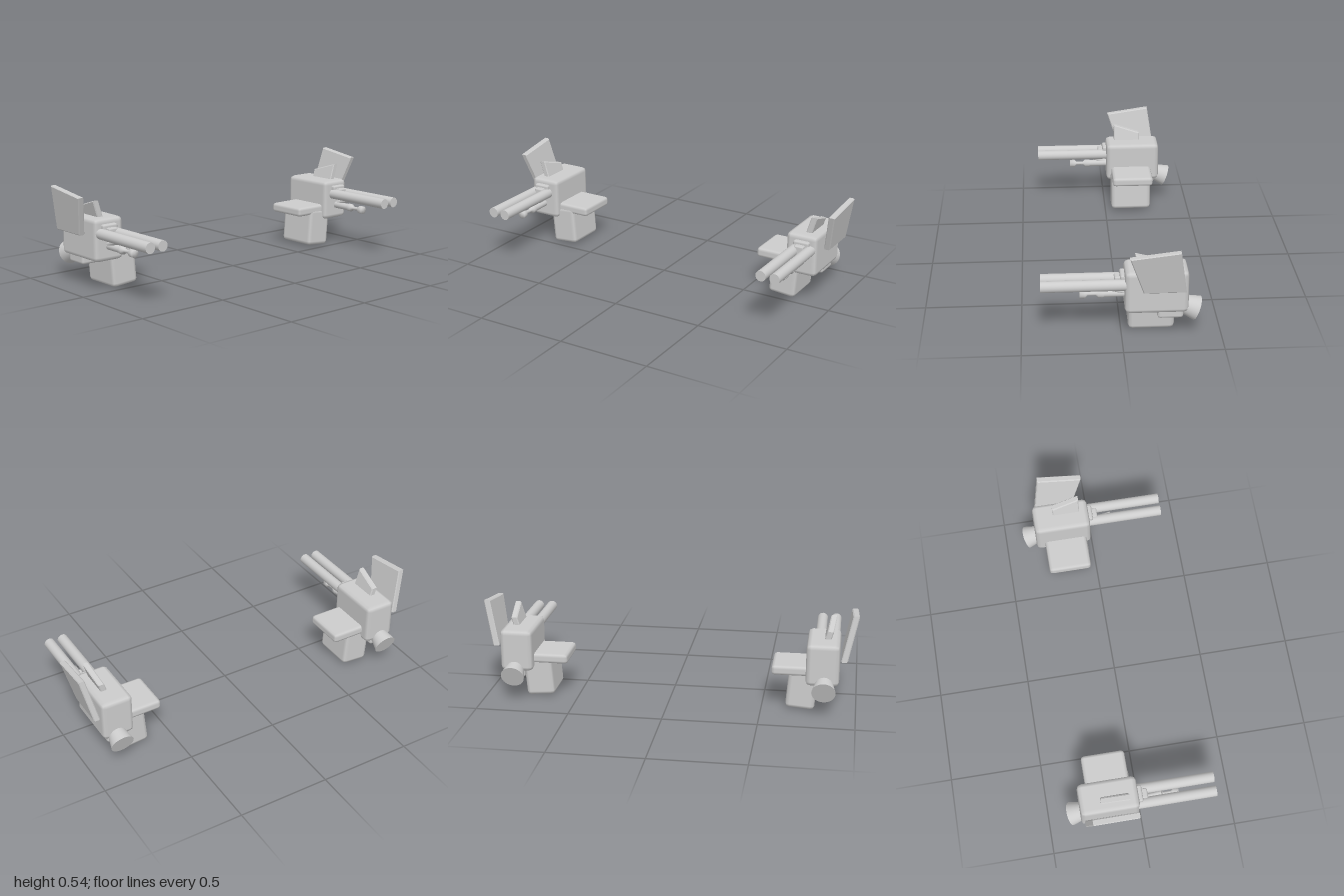
import * as THREE from 'three';
import { RoundedBoxGeometry } from 'three/addons/geometries/RoundedBoxGeometry.js';

const grey = new THREE.MeshStandardMaterial({ color: 0xcccccc });
grey.name = 'light grey metal';

function add(group, name, geometry, x = 0, y = 0, z = 0) {
  const mesh = new THREE.Mesh(geometry, grey);
  mesh.name = name;
  mesh.position.set(x, y, z);
  group.add(mesh);
  return mesh;
}

// Bevelled plate drawn as [z, y] points, leaning outward as it rises
function leaningPlate(points, thickness, lean, baseY, side) {
  const shape = new THREE.Shape(points.map(([z, y]) => new THREE.Vector2(-z, y)));
  const bevel = 0.005;
  const geo = new THREE.ExtrudeGeometry(shape, {
    depth: thickness - 2 * bevel, bevelThickness: bevel, bevelSize: bevel,
    bevelOffset: -bevel, bevelSegments: 1,
  });
  geo.translate(0, 0, bevel - thickness / 2).rotateY(Math.PI / 2);
  const pos = geo.attributes.position;
  for (let i = 0; i < pos.count; i++) {
    pos.setX(i, pos.getX(i) + side * lean * (pos.getY(i) - baseY));
  }
  geo.computeVertexNormals();
  return geo;
}

// Tapered cylinder running between two points
function rod(group, name, from, to, rFrom, rTo, sides = 24) {
  const a = new THREE.Vector3(...from), b = new THREE.Vector3(...to);
  const dir = b.clone().sub(a);
  const mesh = add(group, name, new THREE.CylinderGeometry(rTo, rFrom, dir.length(), sides));
  mesh.position.copy(a).add(b).multiplyScalar(0.5);
  mesh.quaternion.setFromUnitVectors(new THREE.Vector3(0, 1, 0), dir.normalize());
}

function createPod(side) {
  const pod = new THREE.Group();
  pod.name = side > 0 ? 'leftPod' : 'rightPod';
  const box = (name, w, h, d, r, x, y, z) =>
    add(pod, name, new RoundedBoxGeometry(w, h, d, 1, r), side * x, y, z);

  // Housing, inner shelf and slightly tilted lower box
  box('housing', 0.175, 0.228, 0.315, 0.025, 0.82, 0.27, -0.17);
  box('innerShelf', 0.24, 0.054, 0.238, 0.018, 0.67, 0.218, -0.16);
  box('lowerBox', 0.155, 0.214, 0.234, 0.022, 0.712, 0.111, -0.154).rotation.z = -side * 0.08;
  box('thrusterMount', 0.1, 0.09, 0.13, 0.015, 0.83, 0.158, -0.24);

  // Shield panel and small fin
  add(pod, 'shieldPanel', leaningPlate(
    [[-0.03, 0.503], [-0.10, 0.293], [-0.31, 0.293], [-0.274, 0.536]],
    0.034, 0.22, 0.293, side), side * 0.93);
  add(pod, 'topFin', leaningPlate(
    [[-0.063, 0.472], [-0.063, 0.34], [-0.215, 0.34], [-0.215, 0.425]],
    0.034, 0.3, 0.36, side), side * 0.834);

  // Twin barrels and their bracket
  for (const x of [0.795, 0.872]) {
    rod(pod, 'barrel', [side * x, 0.306, -0.05], [side * x, 0.306, 0.4], 0.0285, 0.0285);
  }
  box('barrelBracket', 0.09, 0.075, 0.04, 0.01, 0.828, 0.318, -0.01);
  box('bracketLip', 0.055, 0.055, 0.035, 0.008, 0.828, 0.312, 0.02);

  // Lower nozzle and bracing strut
  const profile = [[0, -0.05], [0.019, -0.05], [0.019, 0.085], [0.022, 0.092], [0.022, 0.115],
    [0.01, 0.128], [0.01, 0.168], [0.022, 0.18], [0.022, 0.208], [0, 0.208]];
  const nozzleGeo = new THREE.LatheGeometry(
    profile.map(([r, z]) => new THREE.Vector2(r, z)), 20);
  add(pod, 'lowerNozzle', nozzleGeo, side * 0.825, 0.237, 0).rotation.x = Math.PI / 2;
  rod(pod, 'strut', [side * 0.83, 0.241, -0.03], [side * 0.83, 0.287, 0.115], 0.013, 0.013, 12);

  // Flared thruster, angled down at the back
  rod(pod, 'thruster', [side * 0.83, 0.179, -0.282], [side * 0.83, 0.143, -0.376], 0.04, 0.063, 32);
  return pod;
}

export function createModel() {
  const model = new THREE.Group();
  model.name = 'twinGunPods';
  for (const side of [-1, 1]) model.add(createPod(side));
  return model;
}
